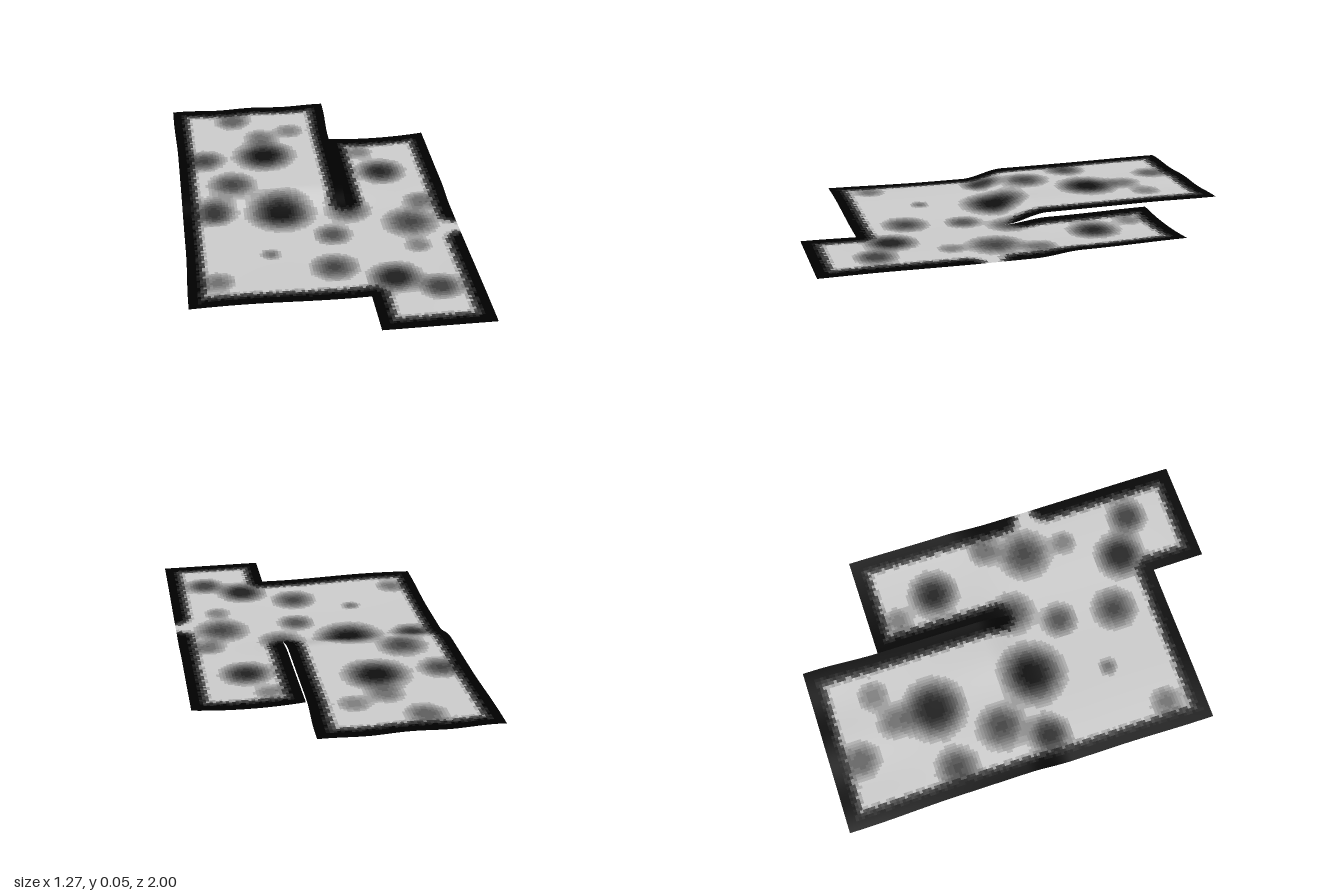
import * as THREE from 'three';

const TONES = 14, STEP = 0.014, SEAM = 0.145;
const { smoothstep, lerp, clamp } = THREE.MathUtils;

// Two overlapping-in-plan ground patches, welded along the seam for z > 0 and torn apart behind it
const patches = [
  { name: 'leftGround', x0: -0.635, x1: SEAM, z0: -1, z1: 0.75, left: true },
  { name: 'rightGround', x0: SEAM, x1: 0.635, z0: -0.64, z1: 1, left: false },
];

// Outline segments that carry the dark border: [x0, z0, x1, z1]
const outline = [
  [-0.635, -1, SEAM, -1], [-0.635, -1, -0.635, 0.75], [-0.635, 0.75, SEAM, 0.75],
  [SEAM, 0.75, SEAM, 1], [SEAM, 1, 0.635, 1], [0.635, 0.36, 0.635, 1],
  [0.635, -0.64, 0.635, 0.13], [SEAM, -0.64, 0.635, -0.64], [SEAM, -1, SEAM, -0.05],
];

// Soft dark blotches: [x, z, radius, strength]
const blotches = [
  [-0.2, -0.47, 0.21, 0.9], [-0.5, -0.45, 0.15, 0.65], [-0.33, -0.86, 0.14, 0.55],
  [-0.05, -0.72, 0.12, 0.4], [-0.2, -0.66, 0.13, 0.45], [-0.38, -0.2, 0.17, 0.65],
  [-0.48, 0, 0.15, 0.75], [-0.17, 0.02, 0.22, 0.9], [0.05, 0.23, 0.13, 0.6],
  [0.02, 0.5, 0.16, 0.65], [-0.25, 0.37, 0.07, 0.45], [0.27, 0.62, 0.17, 0.85],
  [0.45, 0.72, 0.14, 0.7], [0.36, -0.3, 0.17, 0.8], [0.42, 0.18, 0.19, 0.65],
  [0.5, 0, 0.12, 0.5], [0.42, 0.38, 0.1, 0.4], [-0.5, 0.57, 0.12, 0.45],
  [0.15, 0.03, 0.16, 0.6], [0.28, -0.5, 0.11, 0.4],
];

function height(x, z, left) {
  const low = 0.011 + 0.005 * Math.sin(x * 7 + 4.5) * (1 - smoothstep(z, 0.7, 1))
    + 0.009 * smoothstep(z, 0.2, 1);
  const rise = 1 - smoothstep(z, -0.15, 0.06);
  const high = left
    ? 0.053 + 0.003 * Math.cos((x + 0.4) * 18) * Math.cos(z * 3)
    : 0.017 + 0.2 * (x - 0.37) ** 2 + 0.006 * smoothstep(-z, 0.2, 0.64);
  return lerp(low, high, rise);
}

function edgeDistance(x, z) {
  return Math.min(...outline.map(([ax, az, bx, bz]) => Math.hypot(
    x - clamp(x, Math.min(ax, bx), Math.max(ax, bx)),
    z - clamp(z, Math.min(az, bz), Math.max(az, bz)))));
}

// Brightness from 0 (black border) to 1 (bare pale ground)
function brightness(x, z) {
  const ragged = 0.006 * Math.sin(x * 173 + z * 91) + 0.004 * Math.sin(z * 211 - x * 67);
  const d = edgeDistance(x, z) + ragged;
  let b = d < 0.08 ? 0.4 * smoothstep(d, 0.03, 0.085) : lerp(0.75, 1, smoothstep(d, 0.08, 0.11));
  for (const [bx, bz, r, s] of blotches) {
    b *= 1 - s * (1 - smoothstep(Math.hypot(x - bx, z - bz), r * 0.1, r));
  }
  return b;
}

// One gridded sheet, its faces sorted into meshes by shade
function buildPatch({ name, x0, x1, z0, z1, left }, materials) {
  const nx = Math.round((x1 - x0) / STEP), nz = Math.round((z1 - z0) / STEP);
  const sheet = new THREE.PlaneGeometry(x1 - x0, z1 - z0, nx, nz);
  sheet.rotateX(-Math.PI / 2).translate((x0 + x1) / 2, 0, (z0 + z1) / 2);
  const pos = sheet.attributes.position, index = sheet.index;
  const bands = materials.map(() => []);
  for (let i = 0; i < index.count; i += 6) {
    const corners = Array.from({ length: 6 }, (_, k) => index.getX(i + k));
    const cx = (pos.getX(corners[1]) + pos.getX(corners[2])) / 2 + STEP / 2;
    const cz = (pos.getZ(corners[0]) + pos.getZ(corners[1])) / 2;
    const band = Math.min(TONES - 1, Math.floor(brightness(cx - STEP / 2, cz) * TONES));
    bands[band].push(...corners);
  }
  for (let i = 0; i < pos.count; i++) {
    const x = pos.getX(i), z = pos.getZ(i);
    pos.setY(i, height(x, z, left));
    // The raised back corner flares and the outer left edge bows in slightly
    if (left) {
      const flare = 0.013 * smoothstep(-z, 0.64, 0.95) * smoothstep(x, 0, SEAM);
      const bow = 0.008 * smoothstep(0.8 - Math.abs(z + 0.1), 0, 0.4) * smoothstep(-x, 0.5, 0.635);
      pos.setX(i, x + flare + bow);
    }
  }
  sheet.computeVertexNormals();

  const group = new THREE.Group();
  group.name = name;
  bands.forEach((faces, t) => {
    if (!faces.length) return;
    const geometry = sheet.clone().setIndex(faces);
    const mesh = new THREE.Mesh(geometry, materials[t]);
    mesh.name = `${name}Shade${t + 1}`;
    group.add(mesh);
  });
  return group;
}

export function createModel() {
  const model = new THREE.Group();
  model.name = 'groundSheet';
  const materials = Array.from({ length: TONES }, (_, t) => {
    const v = 0.8 * t / (TONES - 1);
    return new THREE.MeshStandardMaterial({
      color: new THREE.Color().setRGB(v, v, v, THREE.SRGBColorSpace),
      side: THREE.DoubleSide,
    });
  });
  patches.forEach((p) => model.add(buildPatch(p, materials)));

  // Rest the lowest point on the ground
  model.position.y = -new THREE.Box3().setFromObject(model).min.y;
  return model;
}
